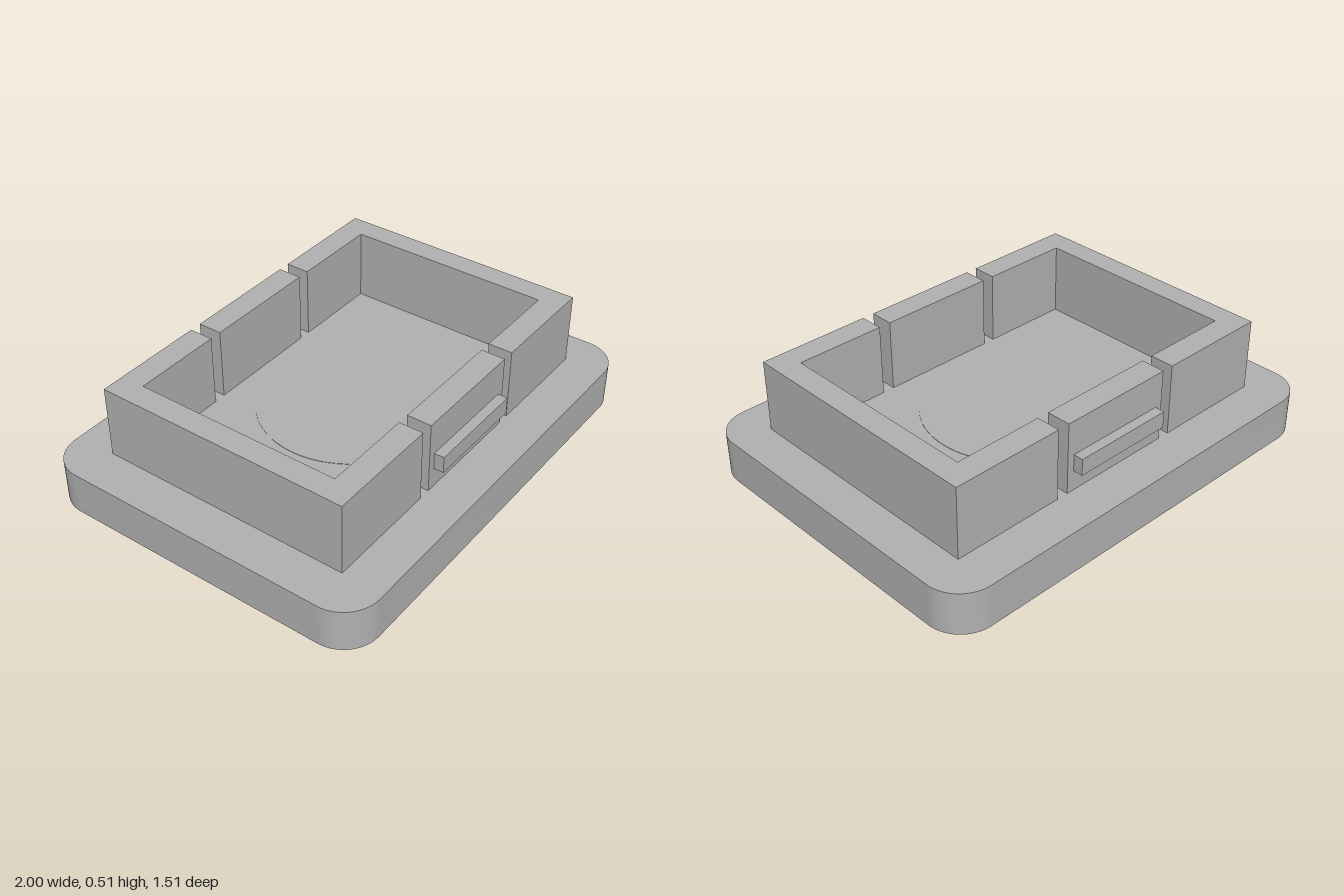
import * as THREE from 'three';
import { toCreasedNormals } from 'three/addons/utils/BufferGeometryUtils.js';

const BASE_TOP = 0.19, WALL_TOP = 0.51, WALL_H = WALL_TOP - BASE_TOP;
const CX = 0.007; // the walls sit very slightly off the base centre

export function createModel() {
  const group = new THREE.Group();
  group.name = 'clipTray';
  const grey = new THREE.MeshStandardMaterial({ color: 0xb2b2b2 });
  grey.name = 'grey plastic';

  const add = (name, geometry, x = 0, y = 0, z = 0) => {
    const mesh = new THREE.Mesh(geometry, grey);
    mesh.name = name;
    mesh.position.set(x, y, z);
    group.add(mesh);
  };
  // extrude a plan outline upwards
  const raise = (shape, height) => {
    const g = new THREE.ExtrudeGeometry(shape, { depth: height, bevelEnabled: false, curveSegments: 12 });
    g.rotateX(-Math.PI / 2);
    return toCreasedNormals(g, 0.6);
  };

  // base plate with rounded corners
  const w = 1, d = 0.755, r = 0.16;
  const plate = new THREE.Shape();
  plate.absarc(w - r, d - r, r, 0, Math.PI / 2);
  plate.absarc(-w + r, d - r, r, Math.PI / 2, Math.PI);
  plate.absarc(-w + r, -d + r, r, Math.PI, Math.PI * 1.5);
  plate.absarc(w - r, -d + r, r, Math.PI * 1.5, Math.PI * 2);
  plate.closePath();
  add('basePlate', raise(plate, BASE_TOP));

  // C-shaped end walls
  const outX = 0.823, inX = 0.719, gapX = 0.318, outZ = 0.571, inZ = 0.463;
  for (const s of [-1, 1]) {
    const outline = [
      [gapX, -outZ], [outX, -outZ], [outX, outZ], [gapX, outZ],
      [gapX, inZ], [inX, inZ], [inX, -inZ], [gapX, -inZ],
    ].map(([x, z]) => new THREE.Vector2(s * x, z));
    add(s > 0 ? 'leftEndWall' : 'rightEndWall', raise(new THREE.Shape(outline), WALL_H), CX, BASE_TOP, 0);
  }

  // middle snap tabs, each with a catch ridge on its outer face
  for (const s of [-1, 1]) {
    const side = s > 0 ? 'front' : 'back';
    add(side + 'SnapTab', new THREE.BoxGeometry(0.53, WALL_H, outZ - inZ),
      CX, BASE_TOP + WALL_H / 2, s * (outZ + inZ) / 2);
    add(side + 'CatchRidge', new THREE.BoxGeometry(0.465, 0.075, 0.044),
      CX, 0.318, s * (outZ + 0.022));
  }

  // barely raised round seat on the floor
  add('floorDisc', new THREE.CylinderGeometry(0.393, 0.393, 0.002, 64), CX, BASE_TOP + 0.001, 0);

  return group;
}
